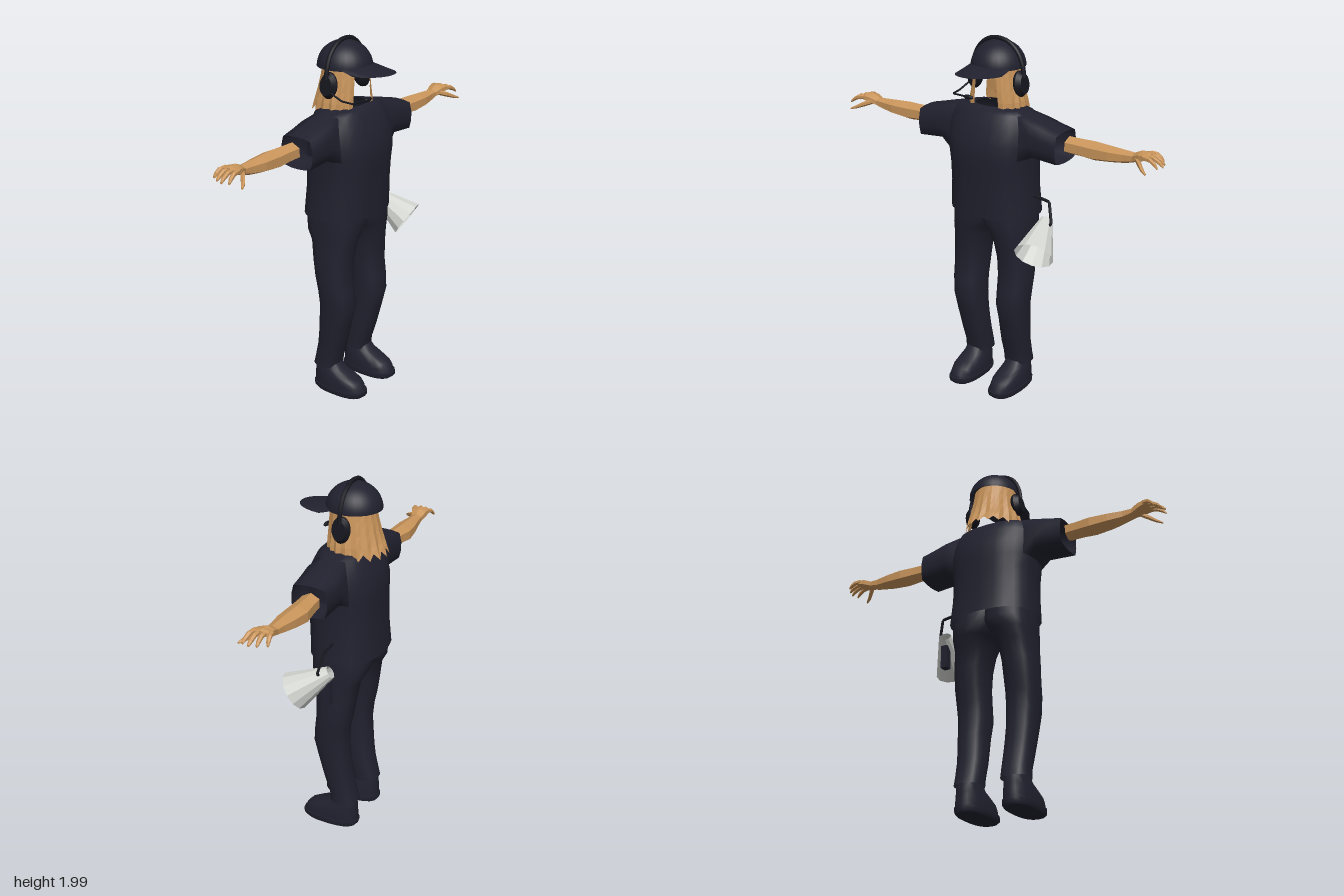
import * as THREE from 'three';

const mat = (name, color, side = THREE.FrontSide) => {
  const m = new THREE.MeshStandardMaterial({ color, side });
  m.name = name;
  return m;
};
const V = (x, y, z) => new THREE.Vector3(x, y, z);
const pw = (v, e) => Math.sign(v) * Math.abs(v) ** e;

// Skin over a list of rings; caps get their own vertices so the edge stays sharp
function loft(rings, { closed = true, cap0 = false, cap1 = false, flat = false, skip = () => false, flip = false } = {}) {
  const n = rings[0].length, pos = [], idx = [];
  rings.forEach(r => r.forEach(p => pos.push(p.x, p.y, p.z)));
  const tri = (a, b, c) => (flip ? idx.push(a, c, b) : idx.push(a, b, c));
  for (let i = 0; i < rings.length - 1; i++) {
    for (let j = 0; j < (closed ? n : n - 1); j++) {
      if (skip(i, j)) continue;
      const k = (j + 1) % n, a = i * n + j, b = i * n + k;
      tri(a, b, b + n);
      tri(a, b + n, a + n);
    }
  }
  const cap = (ring, start) => {
    const base = pos.length / 3, c = V(0, 0, 0);
    ring.forEach(p => { pos.push(p.x, p.y, p.z); c.addScaledVector(p, 1 / n); });
    pos.push(c.x, c.y, c.z);
    for (let j = 0; j < n; j++) {
      const k = (j + 1) % n;
      start ? tri(base + n, base + k, base + j) : tri(base + n, base + j, base + k);
    }
  };
  if (cap0) cap(rings[0], true);
  if (cap1) cap(rings[rings.length - 1], false);
  let g = new THREE.BufferGeometry();
  g.setAttribute('position', new THREE.Float32BufferAttribute(pos, 3));
  g.setIndex(idx);
  if (flat) g = g.toNonIndexed();
  g.computeVertexNormals();
  return g;
}

// Horizontal rounded ring given its limits: y, x0, x1, front z, back z
function level([y, x0, x1, zf, zb], n = 24, p = 2.5) {
  return Array.from({ length: n }, (_, j) => {
    const t = (j / n) * Math.PI * 2;
    return V((x0 + x1) / 2 + ((x1 - x0) / 2) * pw(Math.sin(t), 2 / p), y,
      (zf + zb) / 2 + ((zf - zb) / 2) * pw(Math.cos(t), 2 / p));
  });
}

// Limb running along +x; rows are x, y, z, half height, half depth
const limb = (rows, n) => loft(rows.map(([x, y, z, ry, rz]) => Array.from({ length: n }, (_, j) => {
  const t = (j / n) * Math.PI * 2;
  return V(x, y + ry * Math.cos(t), z + rz * Math.sin(t));
})), { cap0: true, cap1: true, flat: true });

export function createModel() {
  const root = new THREE.Group();
  root.name = 'figure';
  const navy = mat('navy cloth', 0x21212f, THREE.DoubleSide);
  const tan = mat('tan skin and hair', 0xc8945a);
  const black = mat('black plastic', 0x16161f);
  const pale = mat('pale grey', 0xd2d5d0, THREE.DoubleSide);
  const add = (parent, name, geo, m) => {
    const mesh = new THREE.Mesh(geo, m);
    mesh.name = name;
    parent.add(mesh);
    return mesh;
  };
  const tube = (pts, r) => {
    const path = new THREE.CurvePath();
    for (let i = 1; i < pts.length; i++) path.add(new THREE.LineCurve3(V(...pts[i - 1]), V(...pts[i])));
    return new THREE.TubeGeometry(path, 24, r, 6);
  };

  // Shirt body, with openings left for the sleeves
  const body = [
    [1.05, 0.25, 0.145, -0.235], [1.2, 0.24, 0.15, -0.222], [1.31, 0.24, 0.158, -0.22],
    [1.385, 0.246, 0.165, -0.22], [1.46, 0.25, 0.16, -0.218], [1.545, 0.243, 0.135, -0.195],
    [1.612, 0.22, 0.1, -0.16], [1.628, 0.17, 0.08, -0.135], [1.64, 0.1, 0.055, -0.1],
  ].map(([y, a, f, b]) => level([y, -a, a, f, b]));
  add(root, 'shirtBody', loft(body, {
    skip: (i, j) => i >= 3 && i < 6 && ((j >= 4 && j < 8) || (j >= 16 && j < 20)),
  }), navy);

  // Sleeve starts on the rim of the opening and squares off towards the cuff
  const rim = [];
  for (let j = 6; j > 4; j--) rim.push([j, 6]);
  for (let r = 6; r > 3; r--) rim.push([4, r]);
  for (let j = 4; j < 8; j++) rim.push([j, 3]);
  for (let r = 3; r < 6; r++) rim.push([8, r]);
  for (let j = 8; j > 6; j--) rim.push([j, 6]);
  const sleeveRing = (x, yc, h, zc, d) => rim.map(([j, r]) => {
    const u = (6 - j) / 2, v = (r - 4.5) / 1.5;
    return V(x, yc + h * v * Math.sqrt(1 - 0.25 * u * u), zc + d * u * Math.sqrt(1 - 0.25 * v * v));
  });
  const sleeve = loft([
    rim.map(([j, r]) => body[r][j]),
    sleeveRing(0.285, 1.503, 0.097, -0.03, 0.106),
    sleeveRing(0.35, 1.4915, 0.0915, -0.03, 0.102),
    sleeveRing(0.44, 1.477, 0.084, -0.03, 0.1),
  ]);

  // Trouser leg and shoe
  const leg = loft([
    [0.15, 0.06, 0.212, 0.0, -0.152], [0.2, 0.06, 0.21, 0.006, -0.14], [0.28, 0.06, 0.213, 0.032, -0.122],
    [0.35, 0.062, 0.218, 0.05, -0.112], [0.43, 0.064, 0.224, 0.07, -0.105], [0.53, 0.06, 0.23, 0.095, -0.098],
    [0.62, 0.06, 0.238, 0.086, -0.105], [0.7, 0.058, 0.24, 0.076, -0.122], [0.8, 0.052, 0.238, 0.08, -0.138],
    [0.9, 0.035, 0.23, 0.095, -0.155], [0.96, 0.008, 0.23, 0.11, -0.19], [1.02, -0.04, 0.23, 0.118, -0.2],
    [1.1, -0.04, 0.225, 0.12, -0.19],
  ].map(r => level(r, 20)));
  const shoeRows = rows => rows.map(([y, f, b, w]) => level([y, 0.138 - w, 0.138 + w, f, b], 20));
  const sole = loft(shoeRows([[0, 0.16, -0.148, 0.073], [0.012, 0.175, -0.157, 0.081], [0.036, 0.175, -0.157, 0.081]]),
    { cap0: true, cap1: true });
  const shoe = loft(shoeRows([[0.03, 0.168, -0.152, 0.077], [0.06, 0.16, -0.152, 0.076], [0.085, 0.14, -0.15, 0.074],
    [0.11, 0.09, -0.148, 0.069], [0.135, 0.035, -0.147, 0.063], [0.17, 0.005, -0.14, 0.056]]), { cap1: true });

  // Forearm and hand
  const arm = limb([
    [0.452, 1.488, -0.048, 0.046, 0.054], [0.52, 1.486, -0.052, 0.046, 0.056], [0.6, 1.482, -0.057, 0.05, 0.063],
    [0.7, 1.486, -0.052, 0.042, 0.056], [0.78, 1.49, -0.05, 0.034, 0.04], [0.83, 1.496, -0.05, 0.025, 0.036],
    [0.87, 1.512, -0.046, 0.028, 0.05], [0.91, 1.52, -0.044, 0.021, 0.058], [0.925, 1.52, -0.044, 0.013, 0.053],
  ], 6);
  const fingers = [[-0.085, -0.102, 0.962], [-0.057, -0.06, 0.988], [-0.03, -0.022, 1.0], [-0.004, 0.016, 0.988]];
  const fingerGeos = fingers.map(([z0, z1, x]) => limb([
    [0.9, 1.522, z0, 0.014, 0.015],
    [0.9 + (x - 0.9) * 0.5, 1.518, (z0 + z1) / 2, 0.013, 0.013],
    [0.9 + (x - 0.9) * 0.85, 1.5, z1 * 0.8 + z0 * 0.2, 0.011, 0.011],
    [x, 1.487, z1, 0.006, 0.007],
  ], 6));
  const thumb = limb([[0.855, 1.5, -0.02, 0.014, 0.016], [0.89, 1.488, 0.012, 0.015, 0.017],
    [0.92, 1.474, 0.04, 0.011, 0.014], [0.95, 1.462, 0.06, 0.005, 0.007]], 6);

  for (const s of [1, -1]) {
    const half = new THREE.Group();
    half.name = s > 0 ? 'leftHalf' : 'rightHalf';
    half.scale.x = s;
    root.add(half);
    add(half, 'sleeve', sleeve, navy);
    add(half, 'trouserLeg', leg, navy);
    add(half, 'shoeSole', sole, navy);
    add(half, 'shoe', shoe, navy);
    add(half, 'forearm', arm, tan);
    fingerGeos.forEach(g => add(half, 'finger', g, tan));
    add(half, 'thumb', thumb, tan);
    // Ear cup, leaning in at the top, and its cushion
    const cup = add(half, 'earCup', new THREE.CylinderGeometry(0.038, 0.052, 0.026, 20), black);
    cup.rotation.z = -Math.PI / 2 + 0.13;
    cup.scale.x = 1.32;
    cup.position.set(0.158, 1.755, -0.055);
    const pad = add(half, 'earCushion', new THREE.SphereGeometry(0.05, 20, 12), black);
    pad.scale.set(0.6, 1.36, 1);
    pad.rotation.z = 0.13;
    pad.position.set(0.14, 1.755, -0.055);
  }

  // Hair: jagged strands open at the face; an inner sheet backs it
  const hairSheet = (gap, n, k, flip) => {
    const rows = [[1.605, 0.155, 0.12, 0.185], [1.66, 0.15, 0.122, 0.165], [1.72, 0.137, 0.122, 0.148],
      [1.79, 0.126, 0.12, 0.132], [1.86, 0.118, 0.115, 0.118]];
    return loft(rows.map(([y, rx, rf, rb], i) => Array.from({ length: n + 1 }, (_, j) => {
      const t = gap + (j / n) * (Math.PI * 2 - gap * 2), c = Math.cos(t);
      const s = k * (1 + (j % 2 ? 0.012 : -0.012) * (4 - i));
      const drop = i ? 0 : (j % 2 ? -0.01 : 0.022);
      return V(rx * s * Math.sin(t), y + drop, -0.05 + c * s * (c > 0 ? rf : rb));
    })), { closed: false, flat: true, flip });
  };
  add(root, 'hair', hairSheet(0.55, 30, 1, false), tan);
  add(root, 'hairLining', hairSheet(2.0, 8, 0.92, true), tan);

  // Cap dome and curved brim
  const dome = add(root, 'capDome', new THREE.SphereGeometry(1, 28, 12, 0, Math.PI * 2, 0, Math.PI / 2), navy);
  dome.scale.set(0.143, 0.135, 0.148);
  dome.position.set(0, 1.832, -0.058);
  const brim = [0, 0.35, 0.7, 1].map(v => Array.from({ length: 15 }, (_, j) => {
    const u = j / 7 - 1, t = u * 1.15;
    const inner = V(0.138 * Math.sin(t), 0, -0.058 + 0.143 * Math.cos(t));
    const outer = V(0.122 * Math.sin(u * 1.5), 0, 0.06 + 0.182 * pw(Math.cos(u * 1.5), 0.8));
    const p = inner.lerp(outer, v);
    p.y = 1.85 - 0.025 * v - 0.01 * u * u;
    return p;
  }));
  add(root, 'capBrim', loft(brim, { closed: false }), navy);

  // Headband and microphone boom
  const arc = [[-0.164, 1.79], [-0.153, 1.855], [-0.12, 1.92], [-0.065, 1.962], [0, 1.975],
    [0.065, 1.962], [0.12, 1.92], [0.153, 1.855], [0.164, 1.79]].map(([x, y]) => V(x, y, -0.055));
  add(root, 'headband', new THREE.TubeGeometry(new THREE.CatmullRomCurve3(arc), 32, 0.012, 8), black);
  add(root, 'microphoneBoom', tube([[-0.165, 1.73, -0.04], [-0.172, 1.695, 0.05], [-0.165, 1.69, 0.115], [-0.06, 1.692, 0.128]], 0.005), black);
  const foam = add(root, 'microphoneFoam', new THREE.SphereGeometry(0.012, 12, 8), black);
  foam.scale.x = 2.6;
  foam.position.set(-0.055, 1.692, 0.128);

  // Loudhailer hanging from the left hip
  const small = V(0.305, 1.033, -0.075), big = V(0.352, 0.903, 0.112);
  const horn = add(root, 'loudhailerHorn', new THREE.CylinderGeometry(0.034, 0.106, small.distanceTo(big), 12, 1, true).toNonIndexed(), pale);
  horn.geometry.computeVertexNormals();
  horn.position.copy(small).lerp(big, 0.5);
  horn.quaternion.setFromUnitVectors(V(0, 1, 0), small.clone().sub(big).normalize());
  const grip = add(root, 'loudhailerGrip', new THREE.BoxGeometry(0.036, 0.13, 0.042), navy);
  grip.position.set(0.308, 0.915, -0.058);
  add(root, 'loudhailerBracket', tube([[0.225, 1.165, -0.055], [0.335, 1.15, -0.052], [0.365, 1.04, -0.03], [0.325, 1.0, -0.03]], 0.008), black);
  return root;
}
